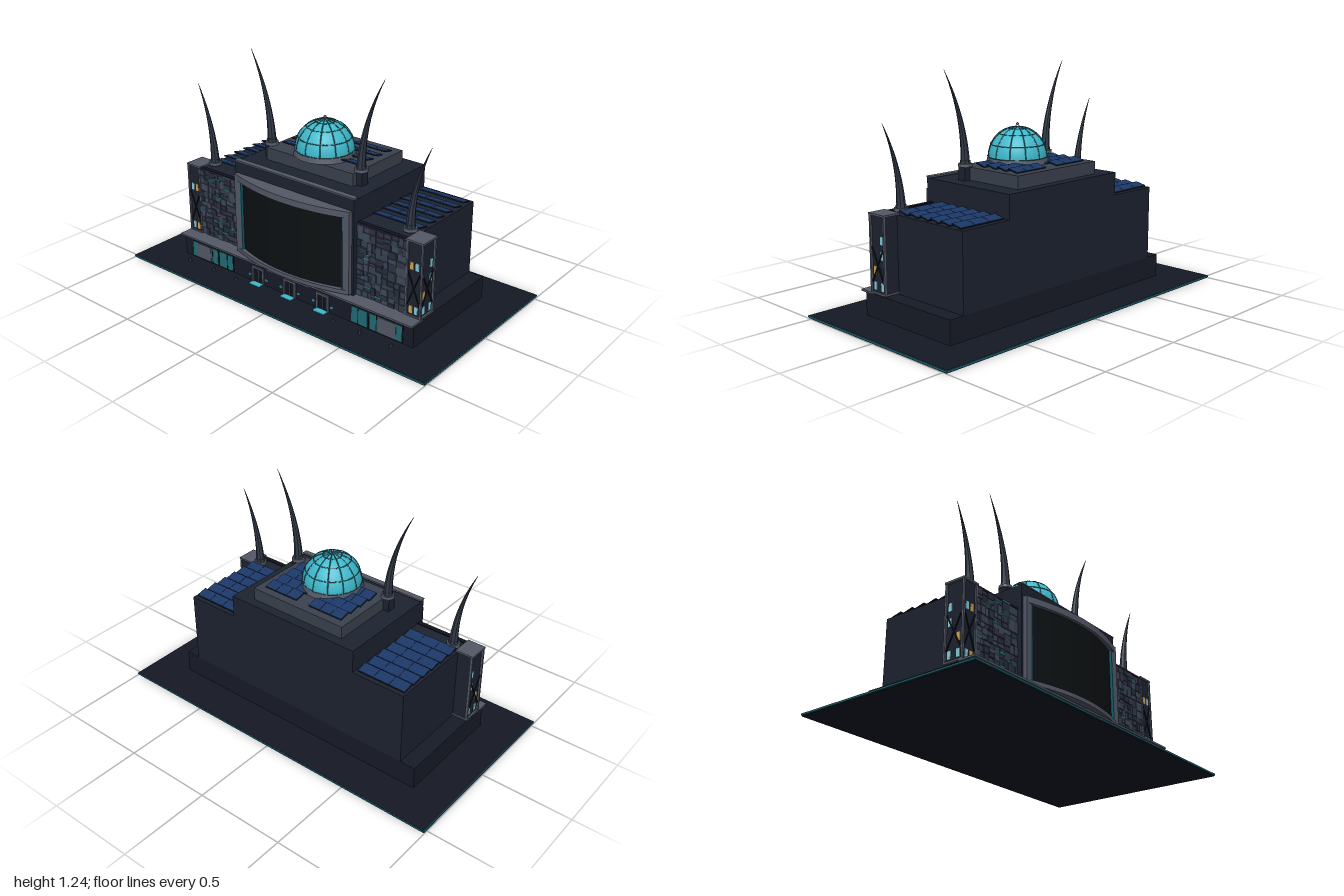
import * as THREE from 'three';

const C = { ground: 0x151925, base: 0x171b27, body: 0x1c2230, trim: 0x545967, dark: 0x10131b, cyan: 0x3fb9cc,
  teal: 0x226a76, glass: 0x86cede, gold: 0xd6a650, purple: 0x4d3568, solar: 0x1c3868, rib: 0x17606c,
  horn: 0x303846, screen: 0x0d1113, pink: 0xc04080 };
const mats = {};
const mat = (c) => (mats[c] ??= new THREE.MeshStandardMaterial({ color: c, flatShading: true }));

function add(parent, name, geo, color) {
  const m = new THREE.Mesh(geo, mat(color));
  m.name = name;
  parent.add(m);
  return m;
}

// Box given by its min and max on each axis
function box(parent, name, color, x0, x1, y0, y1, z0, z1) {
  const m = add(parent, name, new THREE.BoxGeometry(Math.abs(x1 - x0), y1 - y0, z1 - z0), color);
  m.position.set((x0 + x1) / 2, (y0 + y1) / 2, (z0 + z1) / 2);
  return m;
}

function group(parent, name) {
  const g = new THREE.Group();
  g.name = name;
  parent.add(g);
  return g;
}

function seeded(seed) {
  return () => (seed = (seed * 16807) % 2147483647) / 2147483647;
}

// Slab with a flat back and a front that bulges in an arc
function bowedSlab(parent, name, color, half, y0, y1, back, edge, middle) {
  const pts = [new THREE.Vector2(half, back), new THREE.Vector2(half, edge)];
  for (let i = 1; i < 24; i++) {
    const u = 1 - i / 12;
    pts.push(new THREE.Vector2(half * u, edge + (middle - edge) * (1 - u * u)));
  }
  pts.push(new THREE.Vector2(-half, edge), new THREE.Vector2(-half, back));
  const geo = new THREE.ExtrudeGeometry(new THREE.Shape(pts), { depth: y1 - y0, bevelEnabled: false });
  geo.rotateX(Math.PI / 2).translate(0, y1, 0);
  return add(parent, name, geo, color);
}

// Tapering spire that curves outward, on a round flange
function horn(parent, s, x, y, z, height, bend) {
  const g = group(parent, 'horn');
  const geo = new THREE.CylinderGeometry(0.001, 0.025, height, 8, 16);
  const p = geo.attributes.position;
  for (let i = 0; i < p.count; i++) {
    const t = p.getY(i) / height + 0.5;
    p.setX(i, p.getX(i) + s * bend * t * t);
  }
  geo.computeVertexNormals();
  add(g, 'spire', geo, C.horn).position.y = height / 2;
  add(g, 'flange', new THREE.CylinderGeometry(0.035, 0.037, 0.016, 16), C.trim).position.y = 0.004;
  add(g, 'collar', new THREE.CylinderGeometry(0.026, 0.028, 0.02, 8), C.horn).position.y = 0.018;
  g.position.set(s * x, y, z);
}

// Irregular cladding made by splitting a rectangle again and again
function cladding(parent, rnd, x0, x1, y0, y1, depth) {
  const w = x1 - x0, h = y1 - y0;
  if (depth > 0 && Math.max(w, h) > 0.045) {
    const k = 0.35 + 0.3 * rnd();
    if (w > h) {
      cladding(parent, rnd, x0, x0 + w * k, y0, y1, depth - 1);
      cladding(parent, rnd, x0 + w * k, x1, y0, y1, depth - 1);
    } else {
      cladding(parent, rnd, x0, x1, y0, y0 + h * k, depth - 1);
      cladding(parent, rnd, x0, x1, y0 + h * k, y1, depth - 1);
    }
    return;
  }
  const shades = [0x384354, 0x2c3544, 0x3f4a59, 0x333b49, 0x272f3d];
  const z = 0.262 + 0.008 * rnd(), e = 0.0012;
  box(parent, 'tile', shades[Math.floor(rnd() * 5)], x0 + e, x1 - e, y0 + e, y1 - e, 0.25, z);
  const r = rnd();
  if (r < 0.2) box(parent, 'lightStrip', r < 0.07 ? C.cyan : C.purple, x0, x1, y1 - 0.002, y1 + 0.002, 0.25, 0.272);
}

// Solar row tilted down toward the back
function solarRow(parent, x0, x1, y, z, depth) {
  const g = group(parent, 'solarRow');
  box(g, 'backing', C.dark, x0, x1, -0.005, 0, -depth / 2, depth / 2);
  const n = 3, w = (x1 - x0) / n;
  for (let i = 0; i < n; i++)
    box(g, 'cell', C.solar, x0 + i * w + 0.001, x0 + (i + 1) * w - 0.001, 0, 0.002, -depth / 2 + 0.002, depth / 2 - 0.002);
  g.position.set(0, y, z);
  g.rotation.x = -0.22;
}

function tower(parent, s) {
  const g = group(parent, 'sideTower');
  const bx = (name, c, x0, x1, ...r) => box(g, name, c, s * x0, s * x1, ...r);
  bx('core', C.body, 0.70, 0.785, 0.145, 0.55, 0.16, 0.262);
  bx('cap', C.trim, 0.695, 0.797, 0.545, 0.555, 0.153, 0.272);
  bx('foot', C.trim, 0.70, 0.795, 0.145, 0.155, 0.155, 0.27);
  for (const [x, z] of [[0.70, 0.26], [0.785, 0.26], [0.785, 0.155]])
    bx('post', C.trim, x, x + 0.01, 0.15, 0.55, z, z + 0.01);
  // Front and side windows
  for (const y of [0.165, 0.4]) {
    bx('window', C.gold, 0.722, 0.741, y, y + 0.04, 0.26, 0.265);
    bx('window', C.glass, 0.753, 0.772, y, y + 0.04, 0.26, 0.265);
  }
  for (const [y, z, c] of [[0.165, 0.184, C.glass], [0.325, 0.184, C.glass], [0.402, 0.184, C.glass],
    [0.165, 0.238, C.glass], [0.245, 0.238, C.gold]])
    bx('window', c, 0.782, 0.788, y, y + 0.042, z - 0.01, z + 0.01);
  // Crossed braces
  for (const a of [-1, 1]) {
    const side = add(g, 'brace', new THREE.BoxGeometry(0.005, 0.2, 0.006), C.dark);
    side.position.set(s * 0.79, 0.295, 0.212);
    side.rotation.x = a * 0.46;
    const front = add(g, 'brace', new THREE.BoxGeometry(0.005, 0.2, 0.005), C.dark);
    front.position.set(s * 0.747, 0.3, 0.266);
    front.rotation.z = a * 0.38;
  }
}

function door(parent, x) {
  const g = group(parent, 'door');
  box(g, 'doorPanel', C.dark, -0.03, 0.03, 0.015, 0.1, 0.31, 0.318);
  for (const s of [-1, 1]) {
    box(g, 'jamb', C.trim, s * 0.03, s * 0.042, 0.015, 0.11, 0.31, 0.324);
    box(g, 'sideLight', C.cyan, s * 0.052, s * 0.07, 0.045, 0.055, 0.31, 0.324);
  }
  box(g, 'lintel', C.trim, -0.042, 0.042, 0.098, 0.11, 0.31, 0.324);
  box(g, 'doorSplit', C.trim, -0.002, 0.002, 0.015, 0.1, 0.315, 0.32);
  box(g, 'mat', C.cyan, -0.036, 0.036, 0.014, 0.018, 0.318, 0.355);
  g.position.x = x;
}

function dome(parent) {
  const g = group(parent, 'dome'), R = 0.157;
  const shell = add(g, 'shell', new THREE.SphereGeometry(R, 36, 14, 0, Math.PI * 2, 0, Math.PI / 2), C.cyan);
  shell.material = new THREE.MeshStandardMaterial({ color: C.cyan });
  for (let i = 0; i < 6; i++)
    add(g, 'rib', new THREE.TorusGeometry(R, 0.003, 5, 32, Math.PI), C.rib).rotation.y = (i * Math.PI) / 6;
  for (const a of [0.02, 0.45, 0.9, 1.25]) {
    const ring = add(g, 'ring', new THREE.TorusGeometry(R * Math.cos(a), 0.003, 5, 36), C.rib);
    ring.rotation.x = Math.PI / 2;
    ring.position.y = R * Math.sin(a);
  }
  add(g, 'drum', new THREE.CylinderGeometry(0.157, 0.165, 0.03, 36), C.trim).position.y = -0.013;
  add(g, 'beacon', new THREE.SphereGeometry(0.008, 12, 8), C.pink).position.y = 0.172;
  g.position.set(0, 0.766, 0.025);
}

export function createModel() {
  const model = new THREE.Group();
  model.name = 'theatre';
  const bx = (...a) => box(model, ...a);

  // Ground slab with lit edges
  bx('ground', C.ground, -0.997, 0.997, 0, 0.015, -0.522, 0.522);
  for (const s of [-1, 1]) {
    bx('groundEdge', C.rib, s * 0.996, s, 0.005, 0.014, -0.525, 0.525);
    const e = bx('groundEdge', C.rib, -1, 1, 0.005, 0.014, -0.0015, 0.0015);
    e.position.z = s * 0.5235;
  }

  // Stacked building masses
  bx('base', C.base, -0.79, 0.79, 0.015, 0.14, -0.313, 0.316);
  bx('ledge', C.trim, -0.797, 0.797, 0.138, 0.148, 0.25, 0.346);
  bx('ledgeLight', C.purple, -0.79, 0.79, 0.135, 0.138, 0.316, 0.34);
  bx('canopy', C.trim, -0.15, 0.15, 0.122, 0.132, 0.31, 0.335);
  bx('wings', C.body, -0.705, 0.705, 0.14, 0.545, -0.313, 0.255);
  bx('hall', C.body, -0.4, 0.4, 0.14, 0.67, -0.313, 0.27);
  bx('facade', C.body, -0.4, 0.4, 0.148, 0.675, 0.262, 0.288);
  bx('facadeCap', C.trim, -0.402, 0.402, 0.675, 0.681, 0.26, 0.291);
  bx('roofDeck', 0x3a414e, -0.29, 0.29, 0.67, 0.738, -0.262, 0.158);

  // Bowed screen and its frame
  const frame = group(model, 'screenSurround');
  bowedSlab(frame, 'screen', C.screen, 0.345, 0.175, 0.58, 0.28, 0.295, 0.358);
  bowedSlab(frame, 'frameTop', C.trim, 0.388, 0.575, 0.61, 0.28, 0.305, 0.374);
  bowedSlab(frame, 'frameBottom', C.trim, 0.388, 0.155, 0.177, 0.28, 0.305, 0.374);
  for (const s of [-1, 1]) {
    box(frame, 'frameSide', C.trim, s * 0.348, s * 0.388, 0.155, 0.61, 0.28, 0.31);
    box(frame, 'screenLight', C.rib, s * 0.341, s * 0.347, 0.178, 0.575, 0.285, 0.312);
  }

  // Paired side parts
  for (const s of [-1, 1]) {
    tower(model, s);
    const [a, b] = s < 0 ? [-0.7, -0.402] : [0.402, 0.7];
    cladding(group(model, 'cladding'), seeded(s < 0 ? 4711 : 9203), a, b, 0.15, 0.54, 7);
    bx('wingCap', C.dark, a, b, 0.54, 0.55, 0.24, 0.266);
    bx('wingCapLight', C.purple, a, b, 0.543, 0.547, 0.264, 0.269);
    horn(model, s, 0.66, 0.56, 0.183, 0.44, 0.105);
    horn(model, s, 0.3, 0.745, 0.105, 0.495, 0.135);
    bx('hornPlinth', C.body, s * 0.275, s * 0.325, 0.67, 0.744, 0.08, 0.13);
    for (let i = 0; i < 6; i++)
      solarRow(model, s < 0 ? -0.695 : 0.415, s < 0 ? -0.415 : 0.695, 0.559, -0.26 + i * 0.077, 0.064);
    for (let i = 0; i < 4; i++)
      solarRow(model, s < 0 ? -0.25 : 0.04, s < 0 ? -0.04 : 0.25, 0.749, -0.185 + i * 0.077, 0.066);

    // Shop windows
    for (const [x0, x1] of [[0.41, 0.52], [0.525, 0.73]]) {
      bx('shopFrame', C.dark, s * x0, s * x1, 0.018, 0.118, 0.31, 0.319);
      bx('shopGlass', C.teal, s * (x0 + 0.005), s * (x1 - 0.005), 0.024, 0.112, 0.31, 0.321);
      bx('shopMullion', C.dark, s * (x0 + 0.045), s * (x0 + 0.049), 0.02, 0.116, 0.31, 0.323);
    }
    bx('shopPanel', C.trim, s * 0.585, s * 0.69, 0.026, 0.11, 0.31, 0.323);

    // Lamps along the pavement
    for (const x of [0.34, 0.51, 0.7]) {
      const lamp = group(model, 'lamp');
      add(lamp, 'post', new THREE.CylinderGeometry(0.003, 0.011, 0.025, 6), C.horn).position.y = 0.012;
      add(lamp, 'bulb', new THREE.SphereGeometry(0.005, 8, 6), C.rib).position.y = 0.028;
      lamp.position.set(s * x, 0.015, 0.373);
    }
  }
  for (const x of [-0.225, 0, 0.225]) door(model, x);
  dome(model);
  return model;
}
